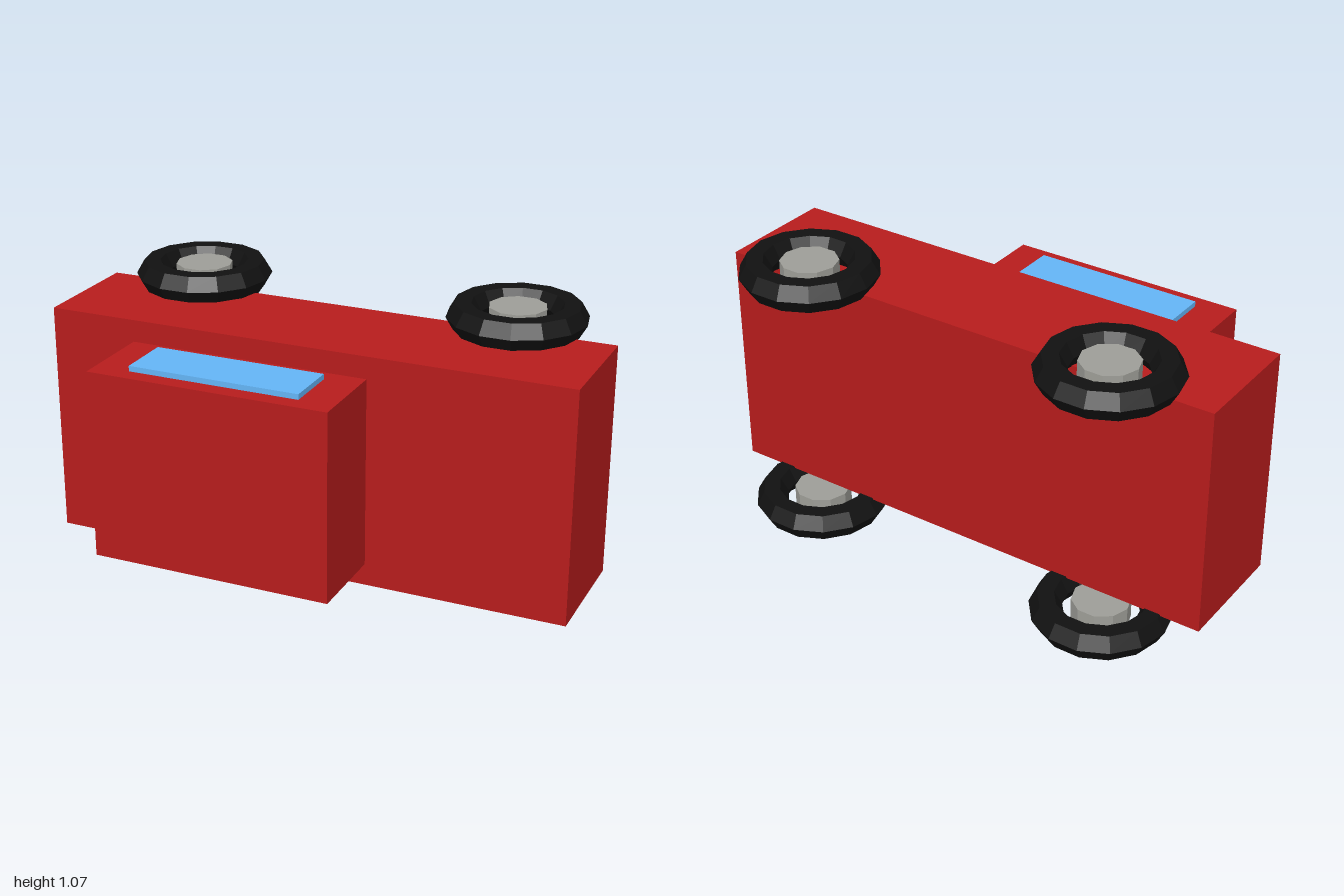
import * as THREE from 'three';

const material = (color) => new THREE.MeshStandardMaterial({ color, flatShading: true });

export function createModel() {
  const model = new THREE.Group();
  model.name = 'toyCar';
  const red = material(0xb71c1c);
  const blue = material(0x64b5f6);
  const black = material(0x111111);
  const grey = material(0x9e9e98);
  const midY = 0.536; // the car lies on its side, mirrored about this height

  function add(name, geometry, mat, x, y, z, parent = model) {
    const mesh = new THREE.Mesh(geometry, mat);
    mesh.name = name;
    mesh.position.set(x, y, z);
    parent.add(mesh);
    return mesh;
  }

  // Body and cabin
  add('body', new THREE.BoxGeometry(2, 0.876, 0.457), red, 0, midY, -0.028);
  add('cabin', new THREE.BoxGeometry(0.915, 0.71, 0.33), red, -0.21, midY, 0.365);

  // One window panel on each side of the cabin
  const windowGeometry = new THREE.BoxGeometry(0.648, 0.03, 0.207);
  for (const side of [-1, 1]) {
    add('window', windowGeometry, blue, -0.21, midY + side * 0.36, 0.364);
  }

  // Four wheels: faceted tyre with a separate hub floating in its centre
  const tyreGeometry = new THREE.TorusGeometry(0.197, 0.06, 6, 14).rotateX(Math.PI / 2);
  const hubGeometry = new THREE.CylinderGeometry(0.107, 0.107, 0.08, 10).rotateY(Math.PI / 2);
  for (const side of [-1, 1]) {
    for (const x of [-0.625, 0.625]) {
      const wheel = new THREE.Group();
      wheel.name = 'wheel';
      wheel.position.set(x, midY + side * 0.484, -0.279);
      add('tyre', tyreGeometry, black, 0, 0, 0, wheel);
      add('hub', hubGeometry, grey, 0, 0, 0, wheel);
      model.add(wheel);
    }
  }
  return model;
}
